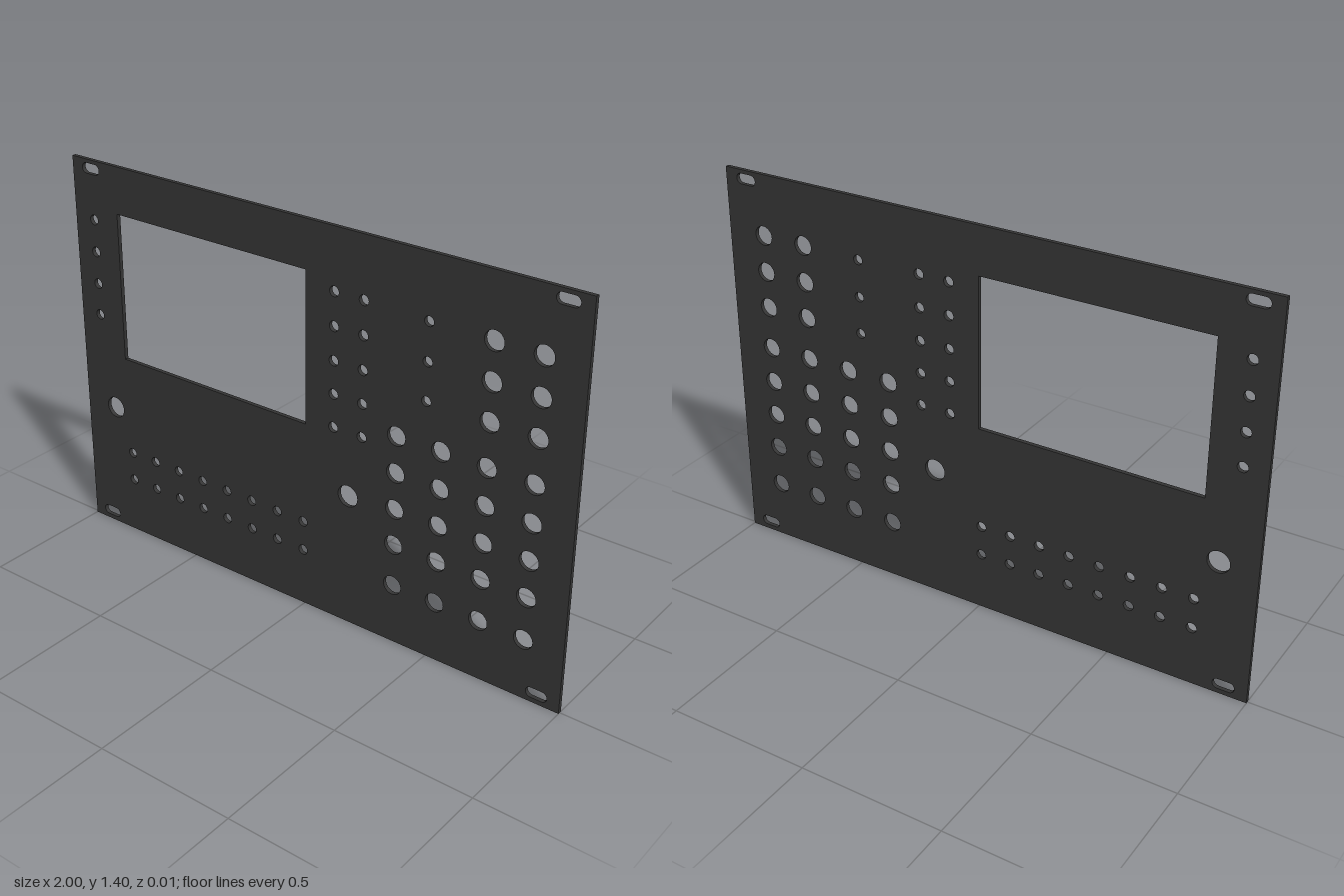
import * as THREE from 'three';

const W = 2, H = 1.403, T = 0.015;

export function createModel() {
  const group = new THREE.Group();

  // Plate outline
  const plate = new THREE.Shape();
  plate.moveTo(-W / 2, 0).lineTo(W / 2, 0).lineTo(W / 2, H).lineTo(-W / 2, H).closePath();

  const hole = (x, y, r) => {
    const p = new THREE.Path();
    p.absarc(x, y, r, 0, Math.PI * 2, true);
    plate.holes.push(p);
  };
  const grid = (xs, ys, r) => xs.forEach(x => ys.forEach(y => hole(x, y, r)));

  // Display window
  const win = new THREE.Path();
  win.moveTo(-0.804, 0.696).lineTo(-0.804, 1.235).lineTo(0.003, 1.235).lineTo(0.003, 0.696).closePath();
  plate.holes.push(win);

  // Rounded mounting slots in the corners
  const r = 0.0185, half = 0.02;
  for (const x of [-0.917, 0.917]) {
    for (const y of [0.035, H - 0.032]) {
      const slot = new THREE.Path();
      slot.absarc(x + half, y, r, Math.PI / 2, -Math.PI / 2, true);
      slot.absarc(x - half, y, r, -Math.PI / 2, -Math.PI * 1.5, true);
      slot.closePath();
      plate.holes.push(slot);
    }
  }

  // Button holes beside the window
  const rows = [1.19, 1.073, 0.955, 0.838, 0.72];
  grid([-0.915], rows.slice(0, 4), 0.018);
  grid([0.115, 0.228], rows, 0.018);

  // Two rows of button holes below the window
  const keys = Array.from({ length: 8 }, (_, i) => -0.793 + i * 0.1122);
  grid(keys, [0.323, 0.212], 0.018);

  // Dial holes
  grid([-0.865, 0.177], [0.487], 0.039);

  // Indicator holes and the large socket holes
  const upper = [1.185, 1.053, 0.921];
  const lower = [0.767, 0.635, 0.503, 0.371, 0.217];
  grid([0.466], upper, 0.017);
  grid([0.691, 0.856], upper, 0.034);
  grid([0.361, 0.526, 0.691, 0.856], lower, 0.034);

  const geometry = new THREE.ExtrudeGeometry(plate, { depth: T, bevelEnabled: false, curveSegments: 16 });
  geometry.translate(0, 0, -T / 2);
  const panel = new THREE.Mesh(geometry, new THREE.MeshStandardMaterial({ color: 0x333333 }));
  panel.name = 'frontPanel';
  group.add(panel);
  return group;
}
